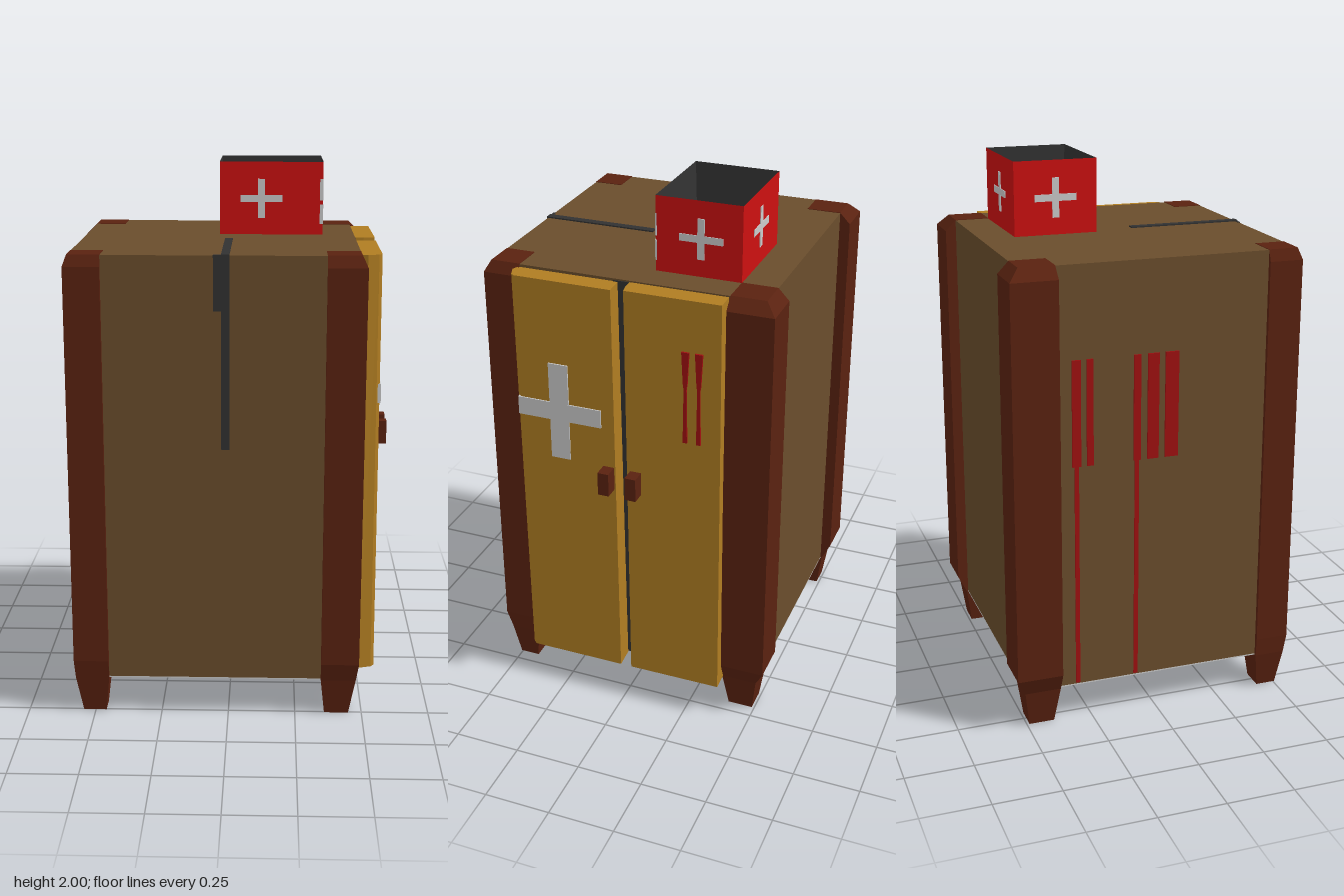
import * as THREE from 'three';

const mat = (color) => new THREE.MeshStandardMaterial({ color, flatShading: true });
const WOOD = mat(0x6a4d2c), POST = mat(0x5a2210), DOOR = mat(0xb07d22), DARK = mat(0x323232);
const RED = mat(0xcc1010), DEEP_RED = mat(0xa01010), GREY = mat(0xcccccc);

function add(parent, name, geometry, material) {
  const mesh = new THREE.Mesh(geometry, material);
  mesh.name = name;
  parent.add(mesh);
  return mesh;
}

// Axis-aligned block given by its limits
function block(parent, name, material, x0, x1, y0, y1, z0, z1) {
  const mesh = add(parent, name, new THREE.BoxGeometry(x1 - x0, y1 - y0, z1 - z0), material);
  mesh.position.set((x0 + x1) / 2, (y0 + y1) / 2, (z0 + z1) / 2);
  return mesh;
}

// Rectangle cross-section at height y
const rect = (y, x0, x1, z0, z1) => ({ y, pts: [[x0, z0], [x0, z1], [x1, z1], [x1, z0]] });

// Skin a stack of cross-sections with flat faces
function loft(rings, capFirst = true, capLast = true) {
  const pos = [];
  const P = (r, i) => {
    const p = rings[r].pts[i % rings[r].pts.length];
    return [p[0], rings[r].y, p[1]];
  };
  const n = rings[0].pts.length, last = rings.length - 1;
  for (let r = 0; r < last; r++) {
    for (let i = 0; i < n; i++) {
      pos.push(...P(r, i), ...P(r, i + 1), ...P(r + 1, i + 1));
      pos.push(...P(r, i), ...P(r + 1, i + 1), ...P(r + 1, i));
    }
  }
  for (let i = 1; i < n - 1; i++) {
    if (capFirst) pos.push(...P(0, 0), ...P(0, i + 1), ...P(0, i));
    if (capLast) pos.push(...P(last, 0), ...P(last, i), ...P(last, i + 1));
  }
  const g = new THREE.BufferGeometry();
  g.setAttribute('position', new THREE.Float32BufferAttribute(pos, 3));
  g.computeVertexNormals();
  return g;
}

// Corner post with chamfered head and tapered foot; a = inner edge, o = outer edge, e = cabinet edge
function post(parent, name, ax, ox, ex, az, oz, ez) {
  const ring = (y, x0, x1, z0, z1) =>
    rect(y, Math.min(x0, x1), Math.max(x0, x1), Math.min(z0, z1), Math.max(z0, z1));
  const sx = Math.sign(ox), sz = Math.sign(oz);
  add(parent, name, loft([
    ring(0, ax + sx * 0.015, ex - sx * 0.015, az + sz * 0.02, ez - sz * 0.015),
    ring(0.14, ax, ex + sx * 0.01, az, ez + sz * 0.005),
    ring(0.21, ax, ox, az, oz),
    ring(1.685, ax, ox, az, oz),
    ring(1.727, ax, ex, az, ez),
  ]), POST);
}

// Plus sign on a wall facing +z, centred on the group's origin
function cross(parent, name, w, h, barW, barH, depth) {
  const g = new THREE.Group();
  g.name = name;
  block(g, 'crossBar', GREY, -w / 2, w / 2, -barH / 2, barH / 2, -depth, depth);
  block(g, 'crossUpright', GREY, -barW / 2, barW / 2, -h / 2, h / 2, -depth * 0.99, depth * 0.99);
  parent.add(g);
  return g;
}

export function createModel() {
  const model = new THREE.Group();
  model.name = 'cabinet';

  // Cabinet body and underside
  block(model, 'body', WOOD, -0.56, 0.465, 0.145, 1.725, -0.505, 0.52);
  block(model, 'underside', GREY, -0.56, 0.465, 0.14, 0.146, -0.505, 0.52);

  // Corner posts
  post(model, 'frontRightPost', -0.445, -0.575, -0.56, 0.41, 0.535, 0.52);
  post(model, 'frontLeftPost', 0.345, 0.485, 0.465, 0.41, 0.543, 0.52);
  post(model, 'backRightPost', -0.445, -0.603, -0.56, -0.375, -0.545, -0.505);
  post(model, 'backLeftPost', 0.345, 0.505, 0.465, -0.375, -0.545, -0.505);

  // Pair of slightly crooked doors on the left side
  const doorGroup = new THREE.Group();
  doorGroup.name = 'doors';
  model.add(doorGroup);
  const shape = (y, dx, dz, pts) => ({ y, pts: pts.map(([x, z]) => [x > 0.5 ? x + dx : x, z + dz]) });
  const frontDoor = [[0.45, 0.035], [0.45, 0.41], [0.49, 0.425], [0.53, 0.41], [0.542, 0.395], [0.542, 0.03]];
  const backDoor = [[0.45, -0.37], [0.45, -0.01], [0.5, -0.01], [0.542, -0.018], [0.54, -0.372]];
  add(doorGroup, 'frontDoor', loft([
    shape(0.14, 0.008, -0.013, frontDoor), shape(1.715, 0, 0, frontDoor)]), DOOR);
  add(doorGroup, 'backDoor', loft([
    shape(0.14, 0.008, -0.008, backDoor), shape(1.72, 0, 0, backDoor)]), DOOR);
  block(doorGroup, 'doorGap', DARK, 0.46, 0.468, 0.145, 1.72, -0.04, 0.05);
  for (const z of [-0.055, 0.05]) {
    block(doorGroup, 'doorKnob', POST, 0.54, 0.6, 0.93, 1.02, z - 0.021, z + 0.021);
  }

  // Cross on the front door
  const doorCross = cross(doorGroup, 'doorCross', 0.325, 0.38, 0.075, 0.07, 0.007);
  doorCross.position.set(0.542, 1.21, 0.238);
  doorCross.rotation.y = Math.PI / 2;

  // Slim tools on the back door, wide at the top
  for (const z of [-0.245, -0.295]) {
    const ring = (y, w) => rect(y, 0.53, 0.549, z - w, z + w);
    add(doorGroup, 'doorTool', loft([ring(1.18, 0.008), ring(1.39, 0.005), ring(1.41, 0.008), ring(1.53, 0.014)]), DEEP_RED);
  }

  // Dark strap over the top and down the front
  block(model, 'strapTop', DARK, -0.024, 0.005, 1.72, 1.73, 0.09, 0.525);
  block(model, 'strapFront', DARK, -0.024, 0.005, 1.03, 1.73, 0.515, 0.525);
  block(model, 'strapBuckle', DARK, -0.052, 0, 1.53, 1.727, 0.515, 0.524);

  // Red strips on the right side: short wide heads, two with long thin tails
  const strips = [[-0.305, 0.016, true], [-0.255, 0.012, false], [-0.08, 0.013, true], [-0.02, 0.021, false], [0.05, 0.025, false]];
  for (const [z, half, tail] of strips) {
    block(model, 'sideStrip', DEEP_RED, -0.566, -0.55, 1.0, 1.39, z - half, z + half);
    if (tail) block(model, 'sideStripTail', DEEP_RED, -0.564, -0.55, 0.15, 1.0, z - 0.008, z + 0.008);
  }

  // Open red box on top, with a dark sloping inside
  const crate = new THREE.Group();
  crate.name = 'openBox';
  crate.position.set(0.148, 1.725, -0.217);
  model.add(crate);
  const hx = 0.197, hz = 0.158, h = 0.275;
  add(crate, 'boxOutside', loft([rect(0, -hx, hx, -hz, hz), rect(h, -hx, hx, -hz, hz)], true, false), RED);
  add(crate, 'boxInside', loft([
    rect(h, -hx, hx, -hz, hz), rect(0.015, -hx + 0.02, hx - 0.01, -hz + 0.01, hz - 0.015)], false, true), DARK);

  // A cross on every side of the box
  const sides = [
    ['boxCrossFront', -0.038, hz, 0], ['boxCrossLeft', hx, -0.008, Math.PI / 2],
    ['boxCrossBack', 0, -hz, Math.PI], ['boxCrossRight', -hx, 0, -Math.PI / 2]];
  for (const [name, x, z, turn] of sides) {
    const c = cross(crate, name, 0.16, 0.148, 0.026, 0.026, 0.003);
    c.position.set(x, 0.137, z);
    c.rotation.y = turn;
  }
  // Broken pale line along the front left edge of the box
  for (const [y0, y1] of [[0.04, 0.115], [0.13, 0.21]]) {
    block(crate, 'boxEdgeMark', GREY, hx - 0.012, hx + 0.001, y0, y1, hz - 0.004, hz + 0.002);
  }
  return model;
}
